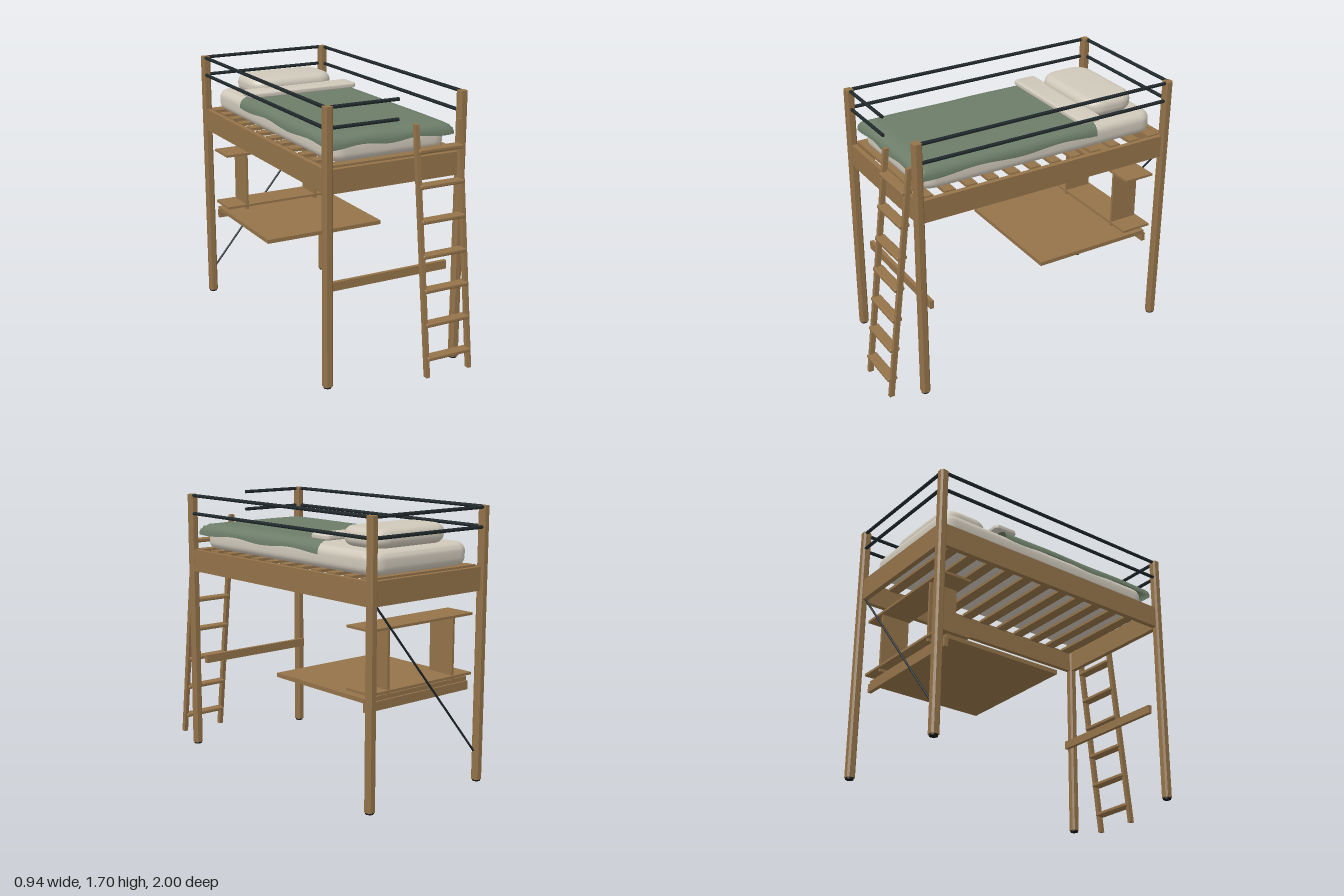
import * as THREE from 'three';
import { toCreasedNormals } from 'three/addons/utils/BufferGeometryUtils.js';
import { RoundedBoxGeometry } from 'three/addons/geometries/RoundedBoxGeometry.js';

const material = (name, color, side = THREE.FrontSide) => {
  const m = new THREE.MeshStandardMaterial({ color, side });
  m.name = name;
  return m;
};

export function createModel() {
  const model = new THREE.Group();
  model.name = 'loftBed';
  const wood = material('wood', 0x94734a);
  const metal = material('dark metal', 0x20282b);
  const rubber = material('black rubber', 0x161616);
  const linen = material('linen', 0xcfc8ba);
  const blanketGreen = material('blanket green', 0x6c7d69, THREE.DoubleSide);

  const add = (name, geometry, mat, x = 0, y = 0, z = 0) => {
    const mesh = new THREE.Mesh(geometry, mat);
    mesh.name = name;
    mesh.position.set(x, y, z);
    model.add(mesh);
    return mesh;
  };
  // Box given by its limits on each axis
  const board = (name, [x0, x1], [y0, y1], [z0, z1], mat = wood) =>
    add(name, new THREE.BoxGeometry(x1 - x0, y1 - y0, z1 - z0), mat,
      (x0 + x1) / 2, (y0 + y1) / 2, (z0 + z1) / 2);
  // Round bar between two points
  const bar = (name, a, b, radius) => {
    const p = new THREE.Vector3(...a), q = new THREE.Vector3(...b);
    const dir = q.clone().sub(p);
    const mesh = add(name, new THREE.CylinderGeometry(radius, radius, dir.length(), 12), metal);
    mesh.position.copy(p).add(q).multiplyScalar(0.5);
    mesh.quaternion.setFromUnitVectors(new THREE.Vector3(0, 1, 0), dir.normalize());
  };
  // Rounded rectangle lying flat, with softened top and bottom edges
  const softSlab = (w, h, d, corner, bevel) => {
    const a = w / 2 - bevel, b = d / 2 - bevel, r = corner - bevel;
    const s = new THREE.Shape();
    s.moveTo(-a + r, -b).lineTo(a - r, -b).absarc(a - r, -b + r, r, -Math.PI / 2, 0);
    s.lineTo(a, b - r).absarc(a - r, b - r, r, 0, Math.PI / 2);
    s.lineTo(-a + r, b).absarc(-a + r, b - r, r, Math.PI / 2, Math.PI);
    s.lineTo(-a, -b + r).absarc(-a + r, -b + r, r, Math.PI, Math.PI * 1.5);
    const g = new THREE.ExtrudeGeometry(s, {
      depth: h - 2 * bevel, bevelSize: bevel, bevelThickness: bevel, bevelSegments: 7, curveSegments: 8,
    });
    g.translate(0, 0, bevel - h / 2);
    g.rotateX(-Math.PI / 2);
    return toCreasedNormals(g, 0.6);
  };

  // Corner posts with chamfered edges, standing on dark feet
  const px = 0.444, zFront = 0.769, zBack = -0.968, inner = 0.417;
  const half = 0.027, cut = 0.016;
  const octagon = new THREE.Shape([
    [half, -cut], [half, cut], [cut, half], [-cut, half],
    [-half, cut], [-half, -cut], [-cut, -half], [cut, -half],
  ].map(([x, y]) => new THREE.Vector2(x, y)));
  for (const side of [-1, 1]) {
    for (const z of [zFront, zBack]) {
      const post = new THREE.ExtrudeGeometry(octagon, { depth: 1.683, bevelEnabled: false });
      post.rotateX(-Math.PI / 2);
      add('post', post, wood, side * px, 0.01, z);
      add('foot', new THREE.CylinderGeometry(0.025, 0.025, 0.012, 16), rubber, side * px, 0.006, z);
    }
    // Long side rail
    board('sideRail', [side * 0.443 - 0.016, side * 0.443 + 0.016], [1.19, 1.332], [-0.942, 0.743]);
  }
  board('footRail', [-inner, inner], [1.19, 1.332], [0.75, 0.782]);
  board('headRail', [-inner, inner], [1.19, 1.332], [-0.98, -0.948]);

  // Guard bars; the foot end is open above the ladder
  for (const y of [1.685, 1.568]) {
    for (const side of [-1, 1]) {
      bar('sideGuardBar', [side * 0.452, y, -0.945], [side * 0.452, y, 0.745], 0.011);
    }
    bar('headGuardBar', [-inner - 0.005, y, -0.978], [inner + 0.005, y, -0.978], 0.011);
    bar('footGuardBar', [-inner - 0.005, y, 0.767], [0.015, y, 0.767], 0.011);
  }
  bar('diagonalBrace', [-0.418, 0.195, -0.962], [0.418, 1.205, -0.962], 0.0065);

  // Slats
  for (let i = 0; i < 12; i++) {
    const z = -0.895 + i * 0.145;
    board('slat', [-0.428, 0.428], [1.322, 1.34], [z - 0.035, z + 0.035]);
  }

  // Bedding
  add('mattress', softSlab(0.79, 0.137, 1.645, 0.1, 0.05), linen, 0, 1.409, -0.103);
  add('foldedSheet', softSlab(0.77, 0.034, 0.16, 0.03, 0.014), linen, 0, 1.523, -0.444);
  const pillow = softSlab(0.6, 0.115, 0.355, 0.12, 0.05);
  add('pillow', pillow, linen, 0, 1.533, -0.677);

  // Blanket: a sheet that turns down over the sides and the foot
  const hem = [[0, 0], [0.02, 0.001], [0.05, 0.005], [0.075, 0.017], [0.09, 0.034], [0.096, 0.052], [0.097, 0.07]];
  const acrossX = [], alongZ = [];
  for (const [out, drop] of [...hem].reverse()) acrossX.push([-0.32 - out, drop]);
  for (let i = 1; i < 16; i++) acrossX.push([-0.32 + i * 0.04, 0]);
  for (const [out, drop] of hem) acrossX.push([0.32 + out, drop]);
  for (let i = 0; i < 24; i++) alongZ.push([-0.475 + i * 0.0466, 0]);
  for (const [out, drop] of hem) alongZ.push([0.643 + out, drop]);
  const nx = acrossX.length - 1, nz = alongZ.length - 1;
  const cloth = new THREE.PlaneGeometry(1, 1, nx, nz);
  for (let j = 0; j <= nz; j++) {
    for (let i = 0; i <= nx; i++) {
      const [x, dx] = acrossX[i], [z, dz] = alongZ[j];
      const drop = Math.max(dx, dz);
      const wave = 1 + 0.12 * Math.sin(x * 17 + z * 11);
      cloth.attributes.position.setXYZ(j * (nx + 1) + i, x, 1.505 - drop * wave, z);
    }
  }
  cloth.computeVertexNormals();
  add('blanket', cloth, blanketGreen);

  // Ladder leaning on the foot end
  const ladderZ = (y) => 0.983 - 0.1213 * (y - 0.03);
  for (const x of [0.112, 0.408]) {
    const stile = new THREE.BoxGeometry(0.026, 1.505, 0.032);
    const p = stile.attributes.position;
    for (let i = 0; i < p.count; i++) p.setZ(i, p.getZ(i) - 0.1213 * p.getY(i));
    stile.computeVertexNormals();
    add('ladderStile', stile, wood, x, 0.7825, ladderZ(0.7825));
  }
  for (let i = 0; i < 7; i++) {
    const y = 0.147 + i * 0.2055;
    add('ladderRung', new RoundedBoxGeometry(0.3, 0.025, 0.066, 3, 0.008), wood, 0.26, y, ladderZ(y));
  }

  // Desk and lower cross rails
  board('deskTop', [-inner, inner], [0.624, 0.65], [-0.887, -0.083]);
  board('deskBackRail', [-inner, inner], [0.57, 0.624], [-0.9, -0.875]);
  board('lowerFootRail', [-inner, inner], [0.57, 0.624], [0.677, 0.702]);

  // Shelf unit on the desk
  board('upperShelf', [-0.412, 0.412], [1.037, 1.052], [-0.93, -0.725]);
  board('lowerShelf', [-0.412, 0.412], [0.67, 0.685], [-0.93, -0.725]);
  for (const x of [-0.265, 0.262]) {
    board('shelfUpright', [x - 0.008, x + 0.008], [0.651, 1.038], [-0.917, -0.73]);
  }
  return model;
}
